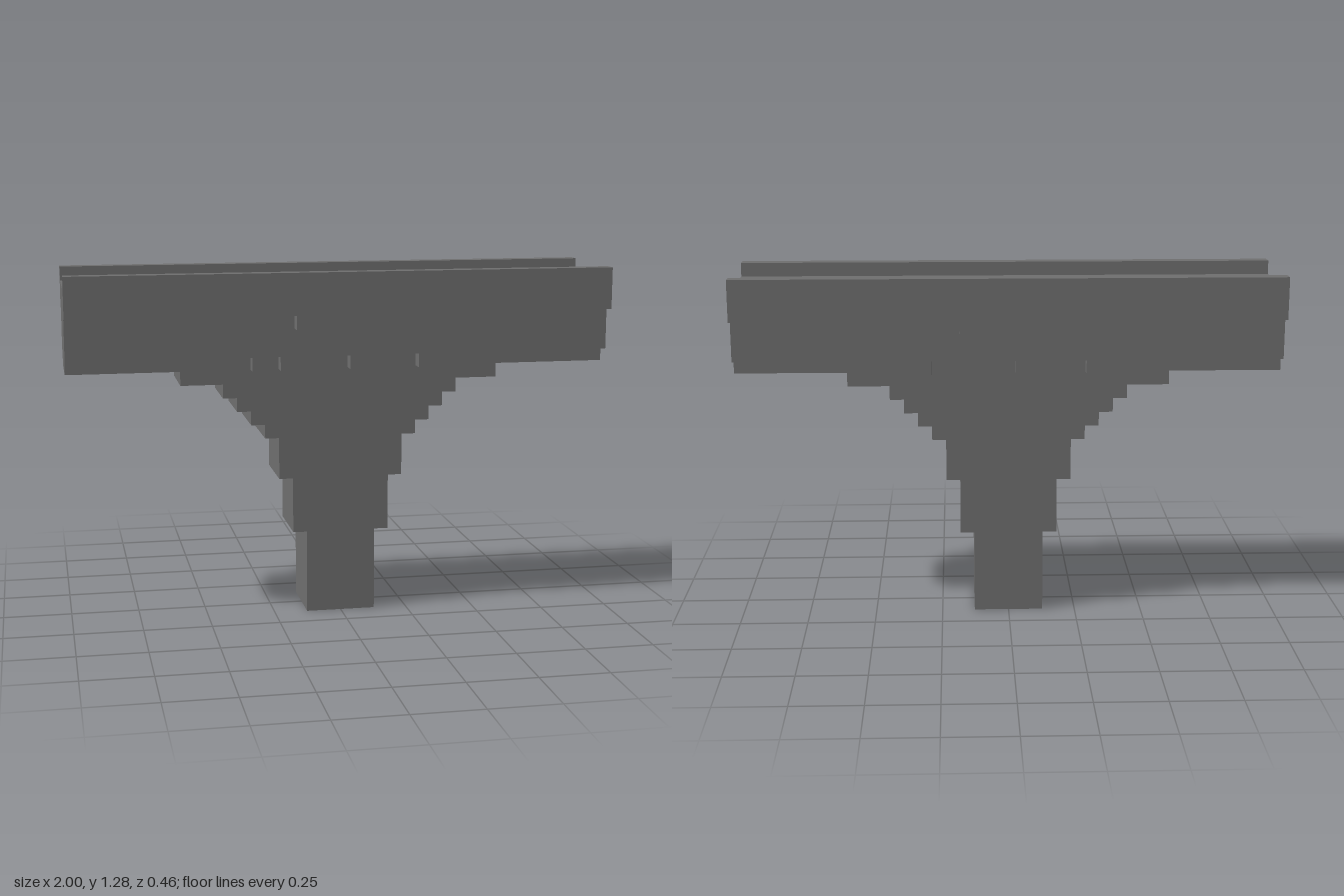
import * as THREE from 'three';

// Everything sits on a block grid: 39 blocks long, 25 high, 9 deep
const U = 2 / 39;
const HALF = 19.5;

const stone = new THREE.MeshStandardMaterial({ color: 0x6e6e6e });
stone.name = 'grey stone';

// Extrude a mirrored outline. half: [x, y] points from the bottom centre
// outwards and up to the top, for the +x side only.
function slab(name, half, z0, z1) {
  const mirrored = half.filter(([x]) => x > 0).map(([x, y]) => [-x, y]).reverse();
  const points = [...half, ...mirrored].map(([x, y]) => new THREE.Vector2(x * U, y * U));
  const geometry = new THREE.ExtrudeGeometry(new THREE.Shape(points), {
    depth: (z1 - z0) * U, bevelEnabled: false,
  });
  geometry.translate(0, 0, z0 * U);
  const mesh = new THREE.Mesh(geometry, stone);
  mesh.name = name;
  return mesh;
}

export function createModel() {
  const model = new THREE.Group();
  model.name = 'bridgePier';

  // Stepped pillar flaring into the beam: [half width, top of step]
  const steps = [
    [2.5, 6], [3.5, 10], [4.5, 13], [5.5, 14], [6.5, 15],
    [7.5, 16], [8.5, 17], [11.5, 18], [HALF, 24],
  ];
  const pillar = [];
  let y = 0;
  for (const [w, top] of steps) {
    pillar.push([w, y], [w, top]);
    y = top;
  }
  model.add(slab('pillarAndBeamCore', pillar, -2.5, 2.5));

  // Beam cheek with hanging teeth along its lower edge
  const cheek = [
    [0.5, 19], [0.5, 18], [4.5, 18], [4.5, 19], [5.5, 19], [5.5, 18],
    [6.5, 18], [6.5, 19], [HALF, 19], [HALF, 24],
  ];
  // Parapet with a deeper middle section
  const parapet = [[3.5, 21], [3.5, 22], [HALF, 22], [HALF, 25]];

  for (const [side, s] of [['front', 1], ['back', -1]]) {
    const span = (a, b) => (s > 0 ? [a, b] : [-b, -a]);
    model.add(slab(side + 'BeamCheek', cheek, ...span(2.5, 3.5)));
    model.add(slab(side + 'Parapet', parapet, ...span(3.5, 4.5)));
  }
  return model;
}
